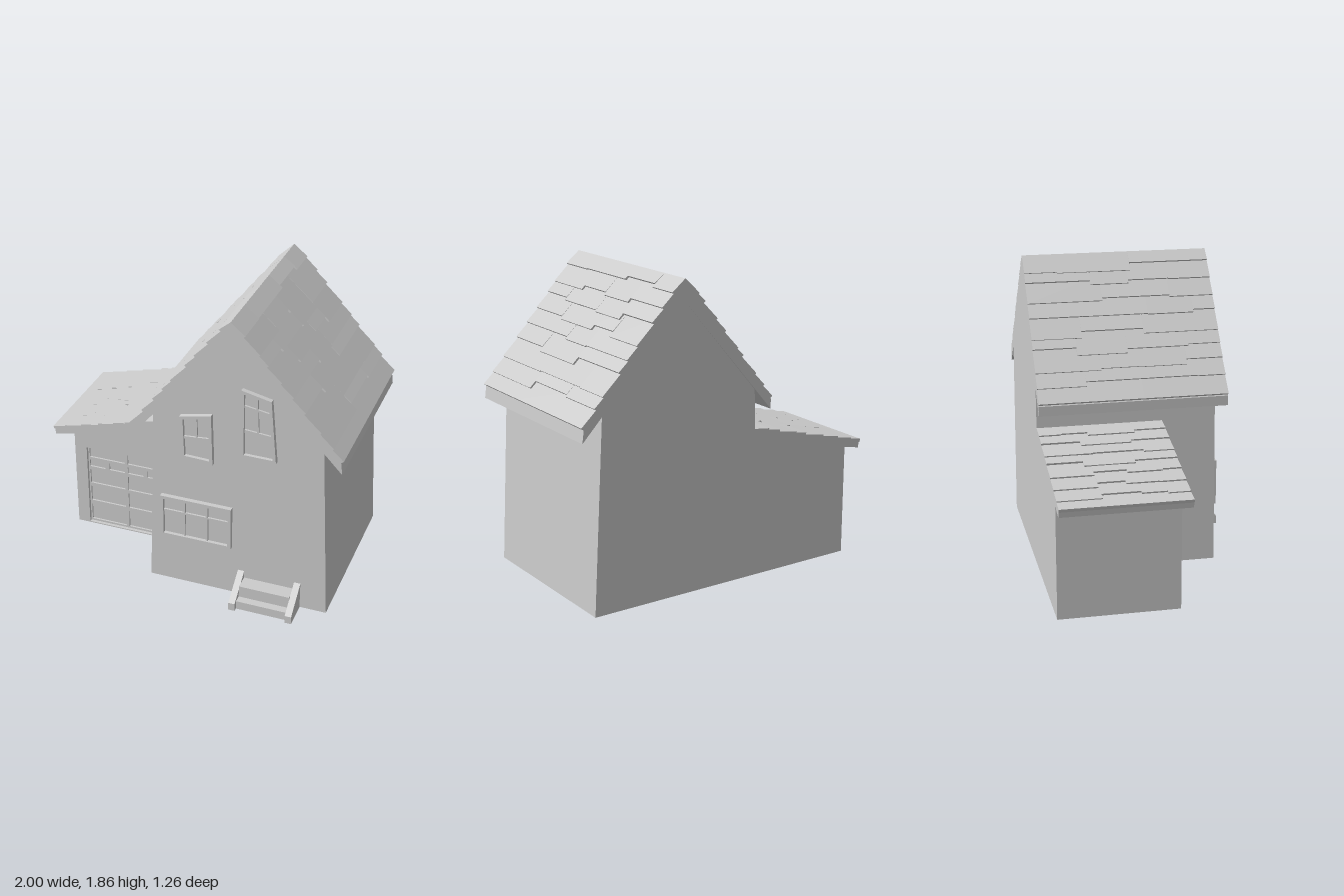
import * as THREE from 'three';

const mat = new THREE.MeshStandardMaterial({ color: 0xcccccc, flatShading: true, side: THREE.DoubleSide });

const toShape = (pts) => new THREE.Shape(pts.map(([x, y]) => new THREE.Vector2(x, y)));
const rect = (x0, y0, x1, y1) => [[x0, y0], [x1, y0], [x1, y1], [x0, y1]];

// Extrude an outline in the xy plane from z0 to z1, with optional holes
function slab(name, pts, z0, z1, holes = []) {
  const shape = toShape(pts);
  for (const h of holes) shape.holes.push(new THREE.Path(h.map(([x, y]) => new THREE.Vector2(x, y))));
  const geo = new THREE.ExtrudeGeometry(shape, { depth: z1 - z0, bevelEnabled: false });
  geo.translate(0, 0, z0);
  const mesh = new THREE.Mesh(geo, mat);
  mesh.name = name;
  return mesh;
}

// Small seeded generator for the uneven shingles
function seeded(seed) {
  let s = seed;
  return () => (s = (s * 16807) % 2147483647) / 2147483647;
}

// Rows of wedge shaped shingles running down a slope from a to b
function shingles(name, a, b, rows, z0, z1, thick, minW, seed) {
  const group = new THREE.Group();
  group.name = name;
  const rnd = seeded(seed);
  const A = new THREE.Vector2(...a), d = new THREE.Vector2(...b).sub(A);
  const len = d.length();
  d.normalize();
  const n = new THREE.Vector2(-d.y, d.x);
  if (n.y < 0) n.negate();
  const at = (s, h) => [A.x + d.x * s + n.x * h, A.y + d.y * s + n.y * h];
  const step = len / rows;
  for (let r = 0; r < rows; r++) {
    let z = z0;
    while (z < z1 - 1e-4) {
      let end = z + minW * (1 + rnd() * 1.3);
      if (z1 - end < minW * 0.6) end = z1;
      const shift = r === rows - 1 ? 0 : (rnd() - 0.5) * 0.55 * step;
      const s0 = Math.max(0, (r - 0.6) * step), s1 = (r + 1) * step + shift;
      group.add(slab('shingle', [at(s0, -0.004), at(s0, 0.001), at(s1, thick), at(s1, -0.004)], z, end));
      z = end;
    }
  }
  return group;
}

// Window in a crooked quad (bottom left, bottom right, top right, top left).
// Bars are [u0, v0, u1, v1] in fractions of the quad.
function makeWindow(name, q, z, bars) {
  const group = new THREE.Group();
  group.name = name;
  const at = (u, v) => [0, 1].map((i) =>
    (q[0][i] * (1 - u) + q[1][i] * u) * (1 - v) + (q[3][i] * (1 - u) + q[2][i] * u) * v);
  const quad = (u0, v0, u1, v1) => [at(u0, v0), at(u1, v0), at(u1, v1), at(u0, v1)];
  const mu = 0.02 / (q[1][0] - q[0][0]), mv = 0.02 / (q[3][1] - q[0][1]);
  group.add(slab('windowFrame', q, z, z + 0.03, [quad(mu, mv, 1 - mu, 1 - mv)]));
  group.add(slab('windowGlass', quad(mu, mv, 1 - mu, 1 - mv), z, z + 0.008));
  for (const b of bars) group.add(slab('windowBar', quad(...b), z, z + 0.02));
  return group;
}

export function createModel() {
  const house = new THREE.Group();
  house.name = 'house';
  const back = -0.63;

  // Main body with a slightly leaning gable outline
  house.add(slab('mainBody',
    [[-0.2, 0.005], [0.93, 0.005], [0.87, 1.165], [0.325, 1.73], [-0.165, 1.16]], back, 0.46));

  // Main roof
  house.add(slab('mainRoof',
    [[0.325, 1.73], [0.995, 1.03], [0.985, 1.105], [0.325, 1.86], [-0.285, 1.085], [-0.285, 1.025]], back, 0.51));
  house.add(shingles('rightShingles', [0.325, 1.86], [0.985, 1.105], 9, back, 0.51, 0.02, 0.2, 11));
  house.add(shingles('leftShingles', [0.325, 1.86], [-0.28, 1.09], 9, back, 0.51, 0.02, 0.2, 37));

  // Garage shell, open underneath
  const garageFront = 0.09;
  const wall = [[-0.87, 0.005], [-0.19, 0.005], [-0.165, 0.85], [-0.87, 0.7]];
  const opening = rect(-0.79, 0.012, -0.265, 0.58);
  house.add(slab('garageFrontWall', wall, garageFront - 0.04, garageFront, [opening]));
  house.add(slab('garageBackWall', wall, back, back + 0.01));
  house.add(slab('garageSideWall', rect(-0.87, 0.005, -0.86, 0.7), back + 0.01, garageFront - 0.04));

  // Garage roof
  house.add(slab('garageRoof',
    [[-0.98, 0.665], [-0.165, 0.84], [-0.165, 0.92], [-0.985, 0.705]], back, 0.13));
  house.add(shingles('garageShingles', [-0.165, 0.92], [-0.992, 0.703], 8, back, 0.13, 0.016, 0.13, 73));

  // Garage door: panels in two columns with a row of small lights
  const door = new THREE.Group();
  door.name = 'garageDoor';
  const holes = [];
  for (const [y0, y1] of [[0.025, 0.14], [0.17, 0.28], [0.305, 0.405], [0.5, 0.57]])
    for (const x0 of [-0.78, -0.517]) holes.push(rect(x0, y0, x0 + 0.242, y1));
  for (const x0 of [-0.78, -0.645, -0.517, -0.382]) holes.push(rect(x0, 0.43, x0 + 0.107, 0.478));
  door.add(slab('doorRails', opening, 0.04, 0.07, holes));
  door.add(slab('doorPanels', opening, 0.05, 0.058));
  house.add(door);

  // Crooked windows
  house.add(makeWindow('lowerWindow', rect(-0.12, 0.335, 0.33, 0.62), 0.46,
    [[0.04, 0.62, 0.96, 0.66], [0.33, 0.07, 0.35, 0.93], [0.65, 0.07, 0.67, 0.93]]));
  house.add(makeWindow('upperLeftWindow', [[0.02, 0.915], [0.215, 0.905], [0.205, 1.235], [0.01, 1.195]], 0.46,
    [[0.1, 0.46, 0.9, 0.52], [0.48, 0.52, 0.53, 0.94]]));
  house.add(makeWindow('upperRightWindow', [[0.385, 1.0], [0.6, 1.0], [0.565, 1.4], [0.385, 1.44]], 0.46,
    [[0.1, 0.37, 0.9, 0.42], [0.48, 0.42, 0.53, 0.95], [0.1, 0.75, 0.9, 0.78]]));

  // Front steps between two sloping cheeks
  const steps = new THREE.Group();
  steps.name = 'frontSteps';
  for (const x of [0.37, 0.725]) {
    const cheek = slab('stepCheek', [[-0.63, 0], [-0.46, 0], [-0.46, 0.178], [-0.63, 0.05]], 0, 0.04);
    cheek.rotation.y = Math.PI / 2;
    cheek.position.x = x;
    steps.add(cheek);
  }
  steps.add(slab('lowerStep', rect(0.41, 0, 0.725, 0.055), 0.46, 0.605));
  steps.add(slab('upperStep', rect(0.41, 0.055, 0.725, 0.13), 0.46, 0.555));
  house.add(steps);

  return house;
}
